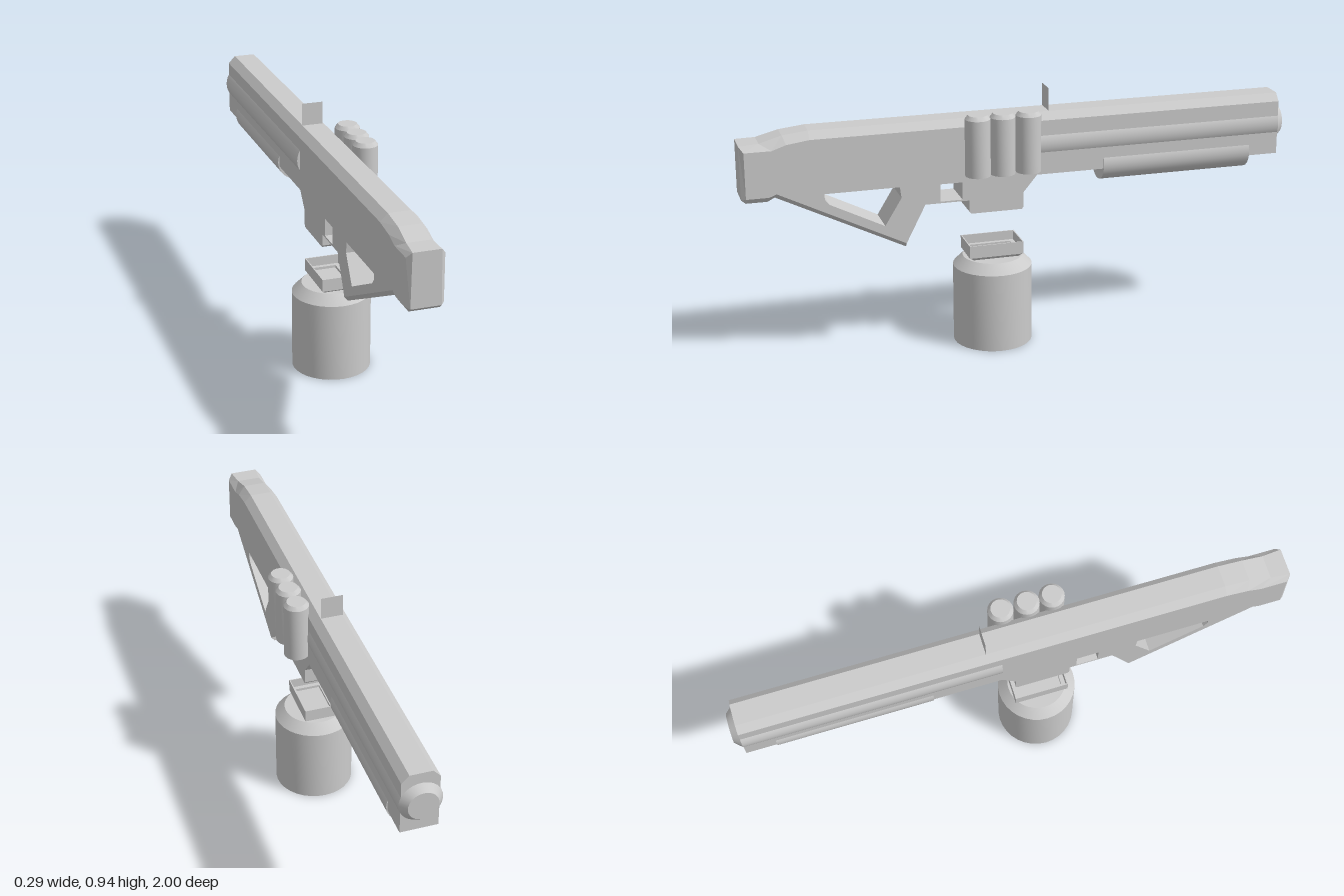
import * as THREE from 'three';
import { toCreasedNormals } from 'three/addons/utils/BufferGeometryUtils.js';

const CX = -0.002; // centre plane of the gun
const W = 0.065; // half width of the gun
const flat = new THREE.MeshStandardMaterial({ color: 0xcccccc, flatShading: true, side: THREE.DoubleSide });
const smooth = new THREE.MeshStandardMaterial({ color: 0xcccccc });

const points = (list) => list.map(([a, b]) => new THREE.Vector2(a, b));

// Turned part from a [radius, height] profile, smooth round and sharp at the rims
function turned(profile, segments = 32) {
  return toCreasedNormals(new THREE.LatheGeometry(points(profile), segments), 0.5);
}

// Side profile in (z, y), extruded across x and centred on x = 0
function sideExtrude(outline, holes, width) {
  const shape = new THREE.Shape(points(outline));
  holes.forEach((h) => shape.holes.push(new THREE.Path(points(h))));
  const geo = new THREE.ExtrudeGeometry(shape, { depth: width, bevelEnabled: false });
  return geo.translate(0, 0, -width / 2).rotateY(-Math.PI / 2);
}

// Chamfered rim along stations [inner z, inner y, outer z, outer y, outer width factor]
function chamferRim(stations) {
  const pos = [];
  const index = [];
  stations.forEach(([zi, yi, zo, yo, s], i) => {
    pos.push(-W, yi, zi, -W * s, yo, zo, W * s, yo, zo, W, yi, zi);
    if (i === 0) return;
    const a = (i - 1) * 4;
    const b = i * 4;
    for (let k = 0; k < 3; k++) index.push(a + k, b + k, b + k + 1, a + k, b + k + 1, a + k + 1);
  });
  const e = (stations.length - 1) * 4;
  index.push(0, 1, 2, 0, 2, 3, e, e + 2, e + 1, e, e + 3, e + 2);
  const geo = new THREE.BufferGeometry();
  geo.setAttribute('position', new THREE.Float32BufferAttribute(pos, 3));
  geo.setIndex(index);
  geo.computeVertexNormals();
  return geo;
}

// Rectangular tube standing on y = 0, outer half sizes hx and hz
function openBox(hx, hz, wall, height) {
  const rect = (x, z) => points([[-x, -z], [x, -z], [x, z], [-x, z]]);
  const shape = new THREE.Shape(rect(hx, hz));
  shape.holes.push(new THREE.Path(rect(hx - wall, hz - wall)));
  return new THREE.ExtrudeGeometry(shape, { depth: height, bevelEnabled: false }).rotateX(-Math.PI / 2);
}

export function createModel() {
  const model = new THREE.Group();
  const add = (name, geo, mat, x = 0, y = 0, z = 0) => {
    const mesh = new THREE.Mesh(geo, mat);
    mesh.name = name;
    mesh.position.set(x, y, z);
    model.add(mesh);
    return mesh;
  };

  // Body: receiver, stock, grip and magazine well in one profile
  const outline = [
    [-0.975, 0.828], [0.76, 0.828], [0.84, 0.817], [0.89, 0.8], [0.985, 0.8],
    [0.985, 0.635], [0.905, 0.635], [0.88, 0.645], [0.43, 0.42], [0.36, 0.557],
    [0.2, 0.557], [0.2, 0.515], [0.193, 0.507], [0.007, 0.507], [0, 0.515],
    [0, 0.57], [-0.05, 0.63], [-0.975, 0.63],
  ];
  const stockHole = [[0.715, 0.63], [0.45, 0.63], [0.445, 0.59], [0.505, 0.492], [0.7, 0.59], [0.715, 0.61]];
  const triggerHole = [[0.305, 0.563], [0.225, 0.563], [0.225, 0.627], [0.305, 0.627]];
  add('body', sideExtrude(outline, [stockHole, triggerHole], W * 2), flat, CX);

  // Chamfered edge over the top, round the butt and under the stock
  add('bodyRim', chamferRim([
    [-0.975, 0.828, -0.975, 0.855, 0.6],
    [0.76, 0.828, 0.76, 0.855, 0.6],
    [0.84, 0.817, 0.85, 0.845, 0.6],
    [0.89, 0.8, 0.93, 0.823, 0.65],
    [0.985, 0.8, 1, 0.82, 0.75],
    [0.985, 0.635, 1, 0.63, 0.8],
    [0.975, 0.635, 0.985, 0.617, 0.8],
    [0.905, 0.635, 0.91, 0.617, 0.8],
    [0.88, 0.645, 0.885, 0.63, 0.8],
    [0.43, 0.42, 0.43, 0.404, 0.8],
  ]), flat, CX);

  // Barrel with a tapered muzzle
  const barrel = turned([[0, 0], [0.074, 0], [0.074, 0.925], [0.052, 0.95], [0, 0.95]]);
  add('barrel', barrel.rotateX(-Math.PI / 2), smooth, CX - 0.002, 0.742, -0.05);

  // Fore grip tube under the barrel
  const foreGrip = turned([[0, 0], [0.07, 0], [0.07, 0.565], [0, 0.565]]);
  add('foreGrip', foreGrip.rotateX(-Math.PI / 2), smooth, CX, 0.645, -0.3);

  // Thin sight plate
  add('sightPlate', new THREE.PlaneGeometry(0.078, 0.084), flat, -0.004, 0.895, -0.1);

  // Spare canisters on the left side
  for (const z of [0.177, 0.087, -0.007]) {
    add('canister', turned([[0, 0], [0.045, 0], [0.045, 0.206], [0.034, 0.22], [0, 0.22]], 24),
      smooth, 0.096, 0.659, z);
  }

  // Detached drum magazine
  add('drum', turned([[0, 0], [0.143, 0], [0.143, 0.29], [0.108, 0.325], [0, 0.325]]), smooth, 0, 0, 0.1);

  // Drum neck: tapered foot, open collar and inner lip
  const foot = new THREE.CylinderGeometry(Math.SQRT2, Math.SQRT2 * 0.82, 0.015, 4).rotateY(Math.PI / 4);
  add('neckFoot', foot.scale(W, 1, 0.1), flat, CX, 0.331, 0.1);
  add('neckCollar', openBox(W, 0.1, 0.004, 0.046), flat, CX, 0.336, 0.1);
  add('neckLip', openBox(W - 0.004, 0.096, 0.016, 0.01), flat, CX, 0.338, 0.1);

  return model;
}
